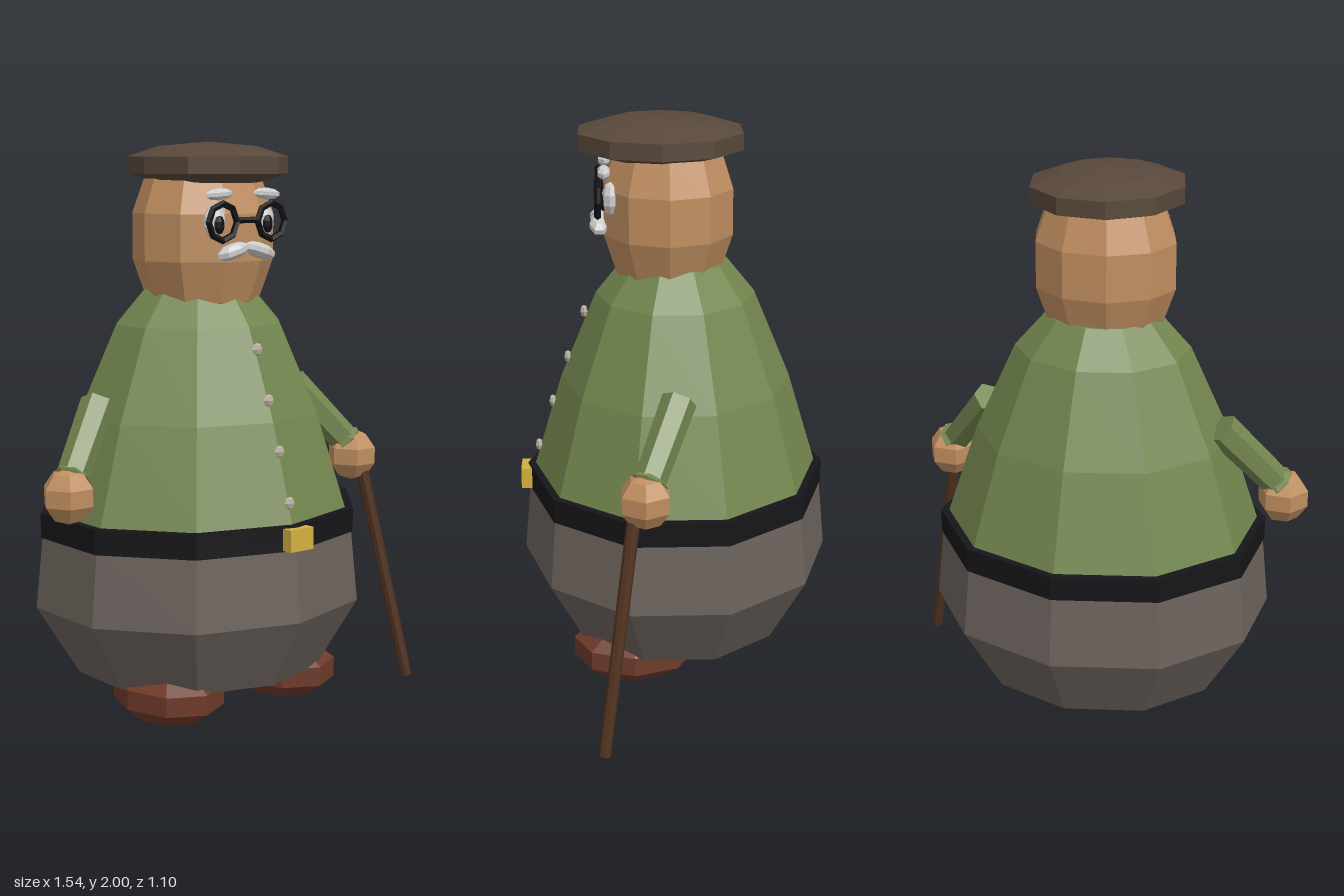
import * as THREE from 'three';

const mat = (color) => new THREE.MeshStandardMaterial({ color, flatShading: true });
const M = {
  shirt: mat(0x73864f), pants: mat(0x6b625c), belt: mat(0x16161a), skin: mat(0xc08e60),
  hat: mat(0x58483a), shoe: mat(0x6e3a2a), cane: mat(0x50321e), gold: mat(0xd4b040),
  white: mat(0xe0e0e0), button: mat(0xb8b0a0), black: mat(0x111114),
};
const CX = -0.05; // the figure's own middle line
const V = (x, y, z) => new THREE.Vector3(x, y, z);

export function createModel() {
  const root = new THREE.Group();
  root.name = 'oldManWithCane';

  const add = (name, geometry, material, pos = V(0, 0, 0)) => {
    const mesh = new THREE.Mesh(geometry, material);
    mesh.name = name;
    mesh.position.copy(pos);
    root.add(mesh);
    return mesh;
  };
  // ten-sided turned shape, squashed along z
  const turned = (name, profile, material, zScale, z = 0, start = 0) => {
    const pts = profile.map(([r, y]) => new THREE.Vector2(r, y));
    const mesh = add(name, new THREE.LatheGeometry(pts, 10, start), material, V(CX, 0, z));
    mesh.scale.z = zScale;
    return mesh;
  };
  // low-poly ellipsoid
  const blob = (name, material, pos, rx, ry, rz, ws = 8, hs = 5) =>
    add(name, new THREE.SphereGeometry(1, ws, hs).scale(rx, ry, rz), material, pos);
  // straight rod between two points
  const rod = (name, material, a, b, ra, rb, sides = 6) => {
    const d = b.clone().sub(a);
    const mesh = add(name, new THREE.CylinderGeometry(rb, ra, d.length(), sides), material, a.clone().lerp(b, 0.5));
    mesh.quaternion.setFromUnitVectors(V(0, 1, 0), d.normalize());
    return mesh;
  };

  // body
  turned('trousers', [[0, 0.16], [0.455, 0.16], [0.61, 0.41], [0.583, 0.67], [0, 0.67]], M.pants, 0.9);
  turned('belt', [[0, 0.655], [0.59, 0.655], [0.59, 0.74], [0, 0.74]], M.belt, 0.9);
  turned('shirt', [[0.57, 0.7], [0.56, 0.74], [0.45, 1.07], [0.308, 1.38], [0.2, 1.5], [0, 1.5]], M.shirt, 0.9);
  add('beltBuckle', new THREE.BoxGeometry(0.1, 0.075, 0.05), M.gold, V(CX, 0.697, 0.53));
  [[1.31, 0.32], [1.143, 0.38], [0.977, 0.437], [0.81, 0.49]].forEach(([y, z]) =>
    blob('button', M.button, V(CX, y, z), 0.022, 0.022, 0.014, 6, 4));

  // head and flat cap
  turned('head', [[0, 1.4], [0.11, 1.4], [0.2, 1.46], [0.25, 1.6], [0.25, 1.76], [0.2, 1.9], [0, 1.92]],
    M.skin, 0.925, 0.025, Math.PI / 2);
  turned('cap', [[0, 1.855], [0.17, 1.862], [0.268, 1.892], [0.268, 1.95], [0.165, 1.985], [0, 2]],
    M.hat, 1.09, 0.05, Math.PI / 2);

  for (const s of [-1, 1]) {
    const x = (d) => CX + s * d;

    // face
    blob('eye', M.white, V(x(0.105), 1.735, 0.222), 0.045, 0.058, 0.03);
    blob('pupil', M.black, V(x(0.105), 1.725, 0.247), 0.022, 0.032, 0.012);
    add('spectacleRim', new THREE.TorusGeometry(0.061, 0.012, 5, 8), M.black, V(x(0.105), 1.735, 0.265));
    const brow = blob('eyebrow', M.white, V(x(0.103), 1.826, 0.243), 0.06, 0.02, 0.024, 6, 5);
    brow.rotation.z = -s * 0.06;
    const tache = blob('moustache', M.white, V(x(0.057), 1.637, 0.26), 0.068, 0.027, 0.036, 7, 5);
    tache.rotation.z = -s * 0.28;

    // arm: sleeve, cuff and hand
    const shoulder = V(x(0.43), 1.13, 0), wrist = V(x(0.61), 0.91, 0.105);
    rod('sleeve', M.shirt, shoulder, wrist, 0.06, 0.054);
    const cuff = add('cuff', new THREE.TorusGeometry(0.05, 0.016, 4, 8), M.shirt, wrist);
    cuff.quaternion.setFromUnitVectors(V(0, 0, 1), wrist.clone().sub(shoulder).normalize());
    blob('hand', M.skin, V(x(0.632), 0.855, 0.118), 0.093, 0.095, 0.094, 6, 5);

    // shoe
    blob('shoe', M.shoe, V(x(0.255), 0.13, 0.155), 0.184, 0.11, 0.226, 8, 5);
  }
  rod('spectacleBridge', M.black, V(CX - 0.048, 1.74, 0.265), V(CX + 0.048, 1.74, 0.265), 0.011, 0.011, 5);

  // walking cane in the left hand
  rod('cane', M.cane, V(0.745, 0.005, 0.262), V(0.59, 0.85, 0.15), 0.021, 0.023, 8);

  return root;
}
